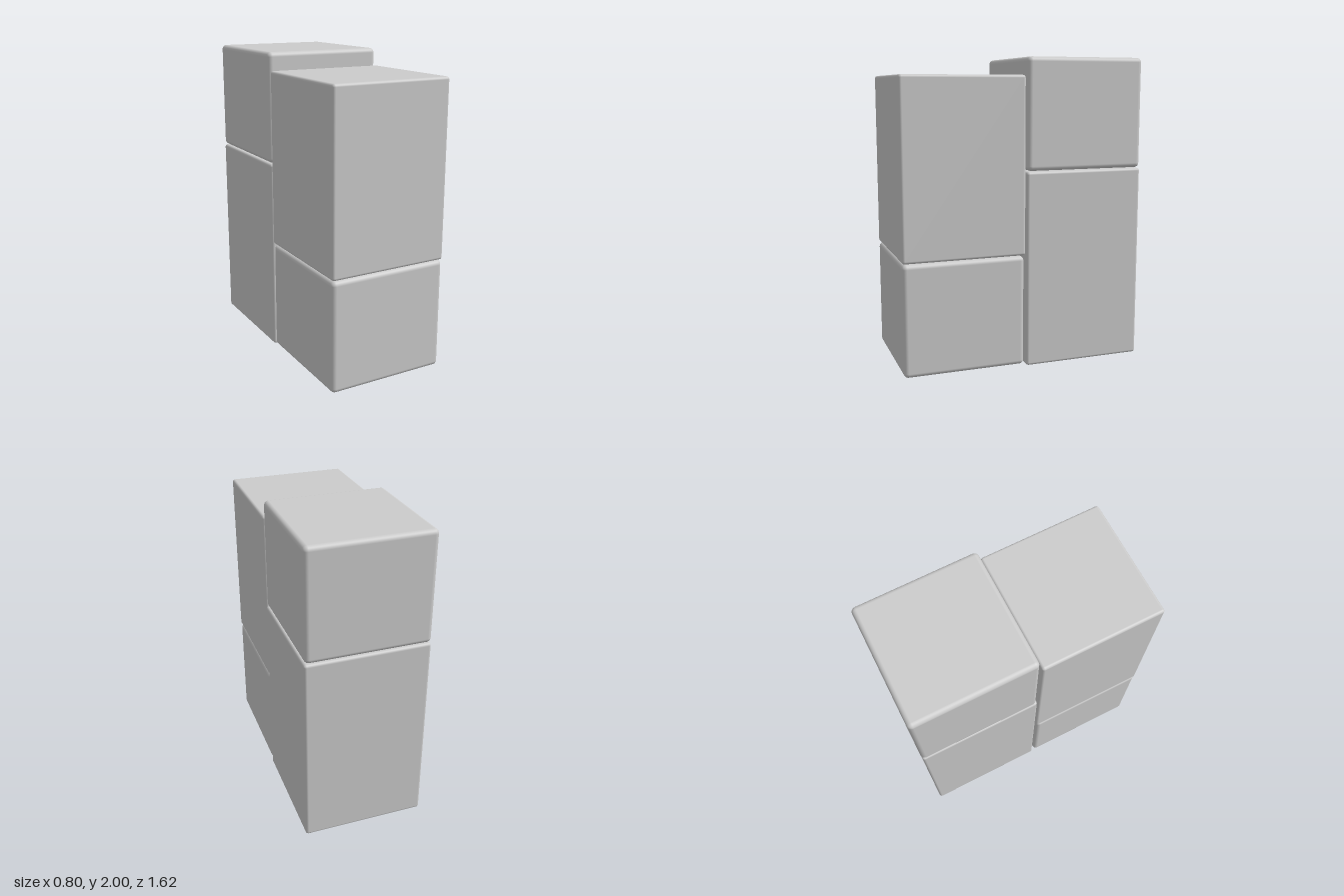
import * as THREE from 'three';
import { RoundedBoxGeometry } from 'three/addons/geometries/RoundedBoxGeometry.js';

export function createModel() {
  const group = new THREE.Group();
  const material = new THREE.MeshStandardMaterial({ color: 0xcccccc });

  // Softly rounded block given by its extents on each axis
  function addBlock(name, [x0, x1], [y0, y1], [z0, z1], radius) {
    const geometry = new RoundedBoxGeometry(x1 - x0, y1 - y0, z1 - z0, 4, radius);
    const block = new THREE.Mesh(geometry, material);
    block.name = name;
    block.position.set((x0 + x1) / 2, (y0 + y1) / 2, (z0 + z1) / 2);
    group.add(block);
  }

  // Front stack: short block below, tall block above
  addBlock('frontLowerBlock', [-0.4, 0.395], [0.012, 0.737], [0.012, 0.808], 0.03);
  addBlock('frontUpperBlock', [-0.4, 0.397], [0.742, 1.886], [0.005, 0.808], 0.018);

  // Back stack: tall block below, short block above
  addBlock('backLowerBlock', [-0.4, 0.4], [0, 1.279], [-0.806, -0.003], 0.018);
  addBlock('backUpperBlock', [-0.4, 0.395], [1.283, 2], [-0.808, -0.01], 0.03);

  return group;
}
